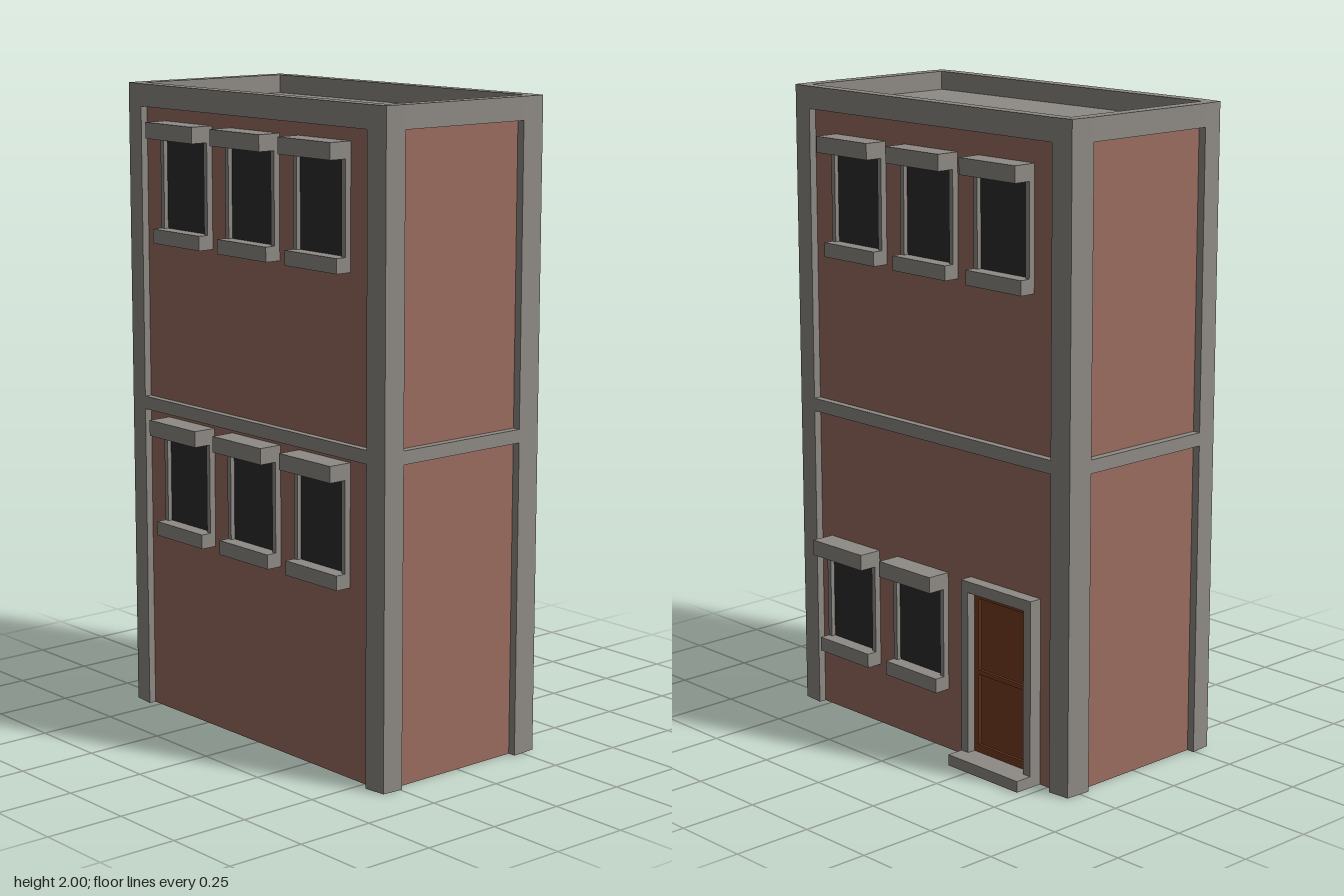
import * as THREE from 'three';

const stone = new THREE.MeshStandardMaterial({ color: 0x8e8a85, side: THREE.DoubleSide });
const brick = new THREE.MeshStandardMaterial({ color: 0x9a6c5f, side: THREE.DoubleSide });
const glass = new THREE.MeshStandardMaterial({ color: 0x2d2d2d });
const wood = new THREE.MeshStandardMaterial({ color: 0x743b20 });
stone.name = 'stone';
brick.name = 'brick';
glass.name = 'darkGlass';
wood.name = 'doorWood';

// Plan dimensions: wall planes sit slightly behind the stone frame
const FRONT = 0.297, BACK = -0.281, SIDE = 0.582, BEAM_Y = 1.93;

function add(parent, name, geometry, material) {
  const mesh = new THREE.Mesh(geometry, material);
  mesh.name = name;
  parent.add(mesh);
  return mesh;
}

// Box given by its limits on each axis
function box(parent, name, material, x0, x1, y0, y1, z0, z1) {
  const mesh = add(parent, name, new THREE.BoxGeometry(x1 - x0, y1 - y0, z1 - z0), material);
  mesh.position.set((x0 + x1) / 2, (y0 + y1) / 2, (z0 + z1) / 2);
  return mesh;
}

// Horizontal ring following the slightly chamfered plan of the building
function ring(parent, name, y0, y1, x, zBack, zFront) {
  const plan = [
    [-0.53, 0.32], [0.53, 0.32], [0.602, 0.313], [0.607, 0.245],
    [0.607, -0.217], [0.602, -0.299], [0.53, -0.305], [-0.53, -0.305],
    [-0.602, -0.299], [-0.607, -0.217], [-0.607, 0.245], [-0.602, 0.313],
  ];
  const shape = new THREE.Shape(plan.map(([px, pz]) => new THREE.Vector2(px, -pz)));
  shape.holes.push(new THREE.Path([[-x, zBack], [x, zBack], [x, zFront], [-x, zFront]]
    .map(([px, pz]) => new THREE.Vector2(px, -pz))));
  const g = new THREE.ExtrudeGeometry(shape, { depth: y1 - y0, bevelEnabled: false });
  g.rotateX(-Math.PI / 2).translate(0, y0, 0);
  add(parent, name, g, stone);
}

// Hollow corner pillar: an open strip of flat faces
function pillar(parent, name, path) {
  const pos = [];
  for (let i = 0; i < path.length - 1; i++) {
    const [ax, az] = path[i], [bx, bz] = path[i + 1];
    pos.push(ax, 0, az, bx, 0, bz, bx, BEAM_Y, bz);
    pos.push(ax, 0, az, bx, BEAM_Y, bz, ax, BEAM_Y, az);
  }
  const g = new THREE.BufferGeometry();
  g.setAttribute('position', new THREE.Float32BufferAttribute(pos, 3));
  g.computeVertexNormals();
  add(parent, name, g, stone);
}

// Window facing +z, origin at the bottom centre of the sill on the wall plane
function makeWindow(name) {
  const w = new THREE.Group();
  w.name = name;
  box(w, 'sill', stone, -0.116, 0.116, 0, 0.045, -0.005, 0.053);
  box(w, 'lintel', stone, -0.116, 0.116, 0.325, 0.375, -0.005, 0.077);
  for (const s of [-1, 1]) {
    const jamb = box(w, 'jamb', stone, -0.008, 0.008, 0.045, 0.325, -0.005, 0.02);
    jamb.position.x = s * 0.108;
  }
  box(w, 'pane', glass, -0.1, 0.1, 0.045, 0.325, 0, 0.006);
  return w;
}

function makeDoor() {
  const door = new THREE.Group();
  door.name = 'door';
  const x0 = -0.467, x1 = -0.167, top = 0.58;
  box(door, 'step', stone, x0, x1, 0, 0.035, -0.376, BACK);
  box(door, 'doorHead', stone, x0, x1, top - 0.035, top, -0.322, BACK);
  box(door, 'doorJamb', stone, x0, x0 + 0.03, 0.035, top - 0.035, -0.322, BACK);
  box(door, 'doorJamb', stone, x1 - 0.03, x1, 0.035, top - 0.035, -0.322, BACK);
  // Door leaf with two sunken panels
  box(door, 'doorPanels', wood, x0 + 0.03, x1 - 0.03, 0.035, top - 0.035, -0.287, BACK);
  const rect = (T, a, b, c, d) => new T([[a, c], [b, c], [b, d], [a, d]]
    .map(([x, y]) => new THREE.Vector2(x, y)));
  const leaf = rect(THREE.Shape, x0 + 0.03, x1 - 0.03, 0.035, top - 0.035);
  for (const [y0, y1] of [[0.06, 0.285], [0.3, 0.525]]) {
    leaf.holes.push(rect(THREE.Path, x0 + 0.05, x1 - 0.05, y0, y1));
  }
  const g = new THREE.ExtrudeGeometry(leaf, { depth: 0.009, bevelEnabled: false });
  g.translate(0, 0, -0.295);
  add(door, 'doorLeaf', g, wood);
  return door;
}

export function createModel() {
  const model = new THREE.Group();
  model.name = 'townHouse';

  // Brick walls, open at the bottom
  for (const [name, z] of [['frontWall', FRONT], ['backWall', BACK]]) {
    const wall = add(model, name, new THREE.PlaneGeometry(1.06, BEAM_Y + 0.005), brick);
    wall.position.set(0, (BEAM_Y + 0.005) / 2, z);
    if (z < 0) wall.rotation.y = Math.PI;
  }
  for (const s of [-1, 1]) {
    const wall = add(model, s > 0 ? 'leftWall' : 'rightWall',
      new THREE.PlaneGeometry(0.462, BEAM_Y + 0.005), brick);
    wall.position.set(s * SIDE, (BEAM_Y + 0.005) / 2, 0.014);
    wall.rotation.y = s * Math.PI / 2;
  }

  // Stone frame: corner pillars, floor band, parapet and flat roof
  for (const s of [-1, 1]) {
    const mirror = (path) => {
      const p = path.map(([x, z]) => [x * s, z]);
      return s > 0 ? p : p.reverse();
    };
    pillar(model, 'frontPillar', mirror([[0.53, FRONT], [0.53, 0.32], [0.602, 0.313],
      [0.607, 0.245], [SIDE, 0.245]]));
    pillar(model, 'backPillar', mirror([[SIDE, -0.217], [0.607, -0.217], [0.602, -0.299],
      [0.53, -0.305], [0.53, BACK]]));
  }
  ring(model, 'floorBand', 0.975, 1.016, SIDE, BACK, FRONT);
  ring(model, 'parapet', BEAM_Y, 2, 0.563, -0.264, 0.275);
  const roof = add(model, 'roof', new THREE.PlaneGeometry(1.14, 0.55), stone);
  roof.rotation.x = -Math.PI / 2;
  roof.position.set(0, 1.942, 0.006);

  // Front windows
  for (const y of [0.585, 1.515]) {
    for (const x of [-0.32, 0, 0.318]) {
      const w = makeWindow('frontWindow');
      w.position.set(x, y, FRONT);
      model.add(w);
    }
  }

  // Back windows: three above, two beside the door
  for (const [x, y] of [[-0.32, 1.485], [0, 1.485], [0.318, 1.485], [0.05, 0.195], [0.368, 0.195]]) {
    const w = makeWindow('backWindow');
    w.position.set(x, y, BACK);
    w.rotation.y = Math.PI;
    model.add(w);
  }
  model.add(makeDoor());
  return model;
}
